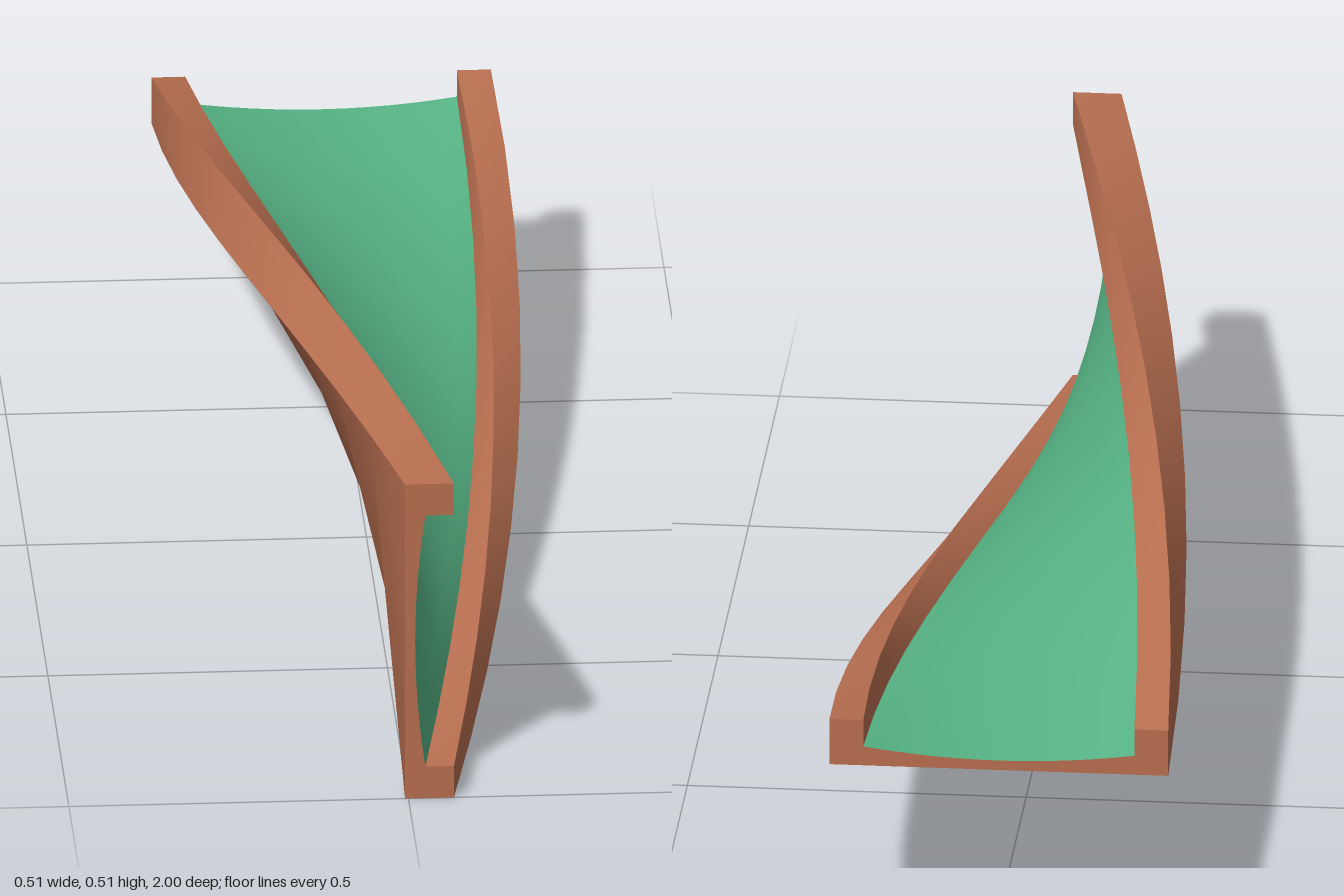
import * as THREE from 'three';

const CX = -0.005, CY = 0.25;   // twist axis, on the outer face of the web
const STEPS = 10;               // rings along the length
const TWIST = Math.PI / 2;      // quarter turn from front to back
const H = 0.25, DEPTH = 0.072, LIP = 0.2;

// Curved inner floor of the channel, bottom to top
const floorCurve = [];
for (let i = 0; i <= 12; i++) {
  const y = -LIP + (2 * LIP * i) / 12;
  floorCurve.push([0.015 + 0.015 * (y / LIP) ** 2, y]);
}

// Sweep an open run of profile points along z while turning it
function twistedStrip(points) {
  const pos = [], index = [], n = points.length;
  for (let i = 0; i <= STEPS; i++) {
    const t = i / STEPS, c = Math.cos(t * TWIST), s = Math.sin(t * TWIST);
    for (const [x, y] of points) pos.push(CX + x * c - y * s, CY + x * s + y * c, 1 - 2 * t);
  }
  for (let i = 0; i < STEPS; i++) {
    for (let j = 0; j < n - 1; j++) {
      const a = i * n + j, b = a + 1, c = a + n, d = b + n;
      index.push(a, c, b, b, c, d);
    }
  }
  const g = new THREE.BufferGeometry();
  g.setAttribute('position', new THREE.Float32BufferAttribute(pos, 3));
  g.setIndex(index);
  g.computeVertexNormals();
  return g;
}

export function createModel() {
  const model = new THREE.Group();
  model.name = 'twistedChannel';
  const frame = new THREE.MeshStandardMaterial({ color: 0xb96f50 });
  frame.name = 'terracotta';
  const lining = new THREE.MeshStandardMaterial({ color: 0x57b586 });
  lining.name = 'green';

  const add = (name, geometry, material) => {
    const mesh = new THREE.Mesh(geometry, material);
    mesh.name = name;
    model.add(mesh);
  };

  // Green floor
  add('channelFloor', twistedStrip(floorCurve), lining);

  // Outer web, then the three faces of each side rail
  add('outerWeb', twistedStrip([[0, H], [0, -H]]), frame);
  const lower = [[0, -H], [DEPTH, -H], [DEPTH, -LIP], [0.03, -LIP]];
  const upper = lower.map(([x, y]) => [x, -y]).reverse();
  for (const [name, run] of [['lowerRail', lower], ['upperRail', upper]]) {
    ['First', 'Edge', 'Last'].forEach((side, k) =>
      add(name + side + 'Face', twistedStrip([run[k], run[k + 1]]), frame));
  }

  // Flat end caps
  const outline = [...lower.slice(0, 3), ...floorCurve, ...upper.slice(1)];
  const shape = new THREE.Shape(outline.map(([x, y]) => new THREE.Vector2(x, y)));
  add('frontCap', new THREE.ShapeGeometry(shape).translate(CX, CY, 1), frame);
  add('backCap', new THREE.ShapeGeometry(shape).rotateX(Math.PI).rotateZ(TWIST).translate(CX, CY, -1), frame);

  return model;
}
